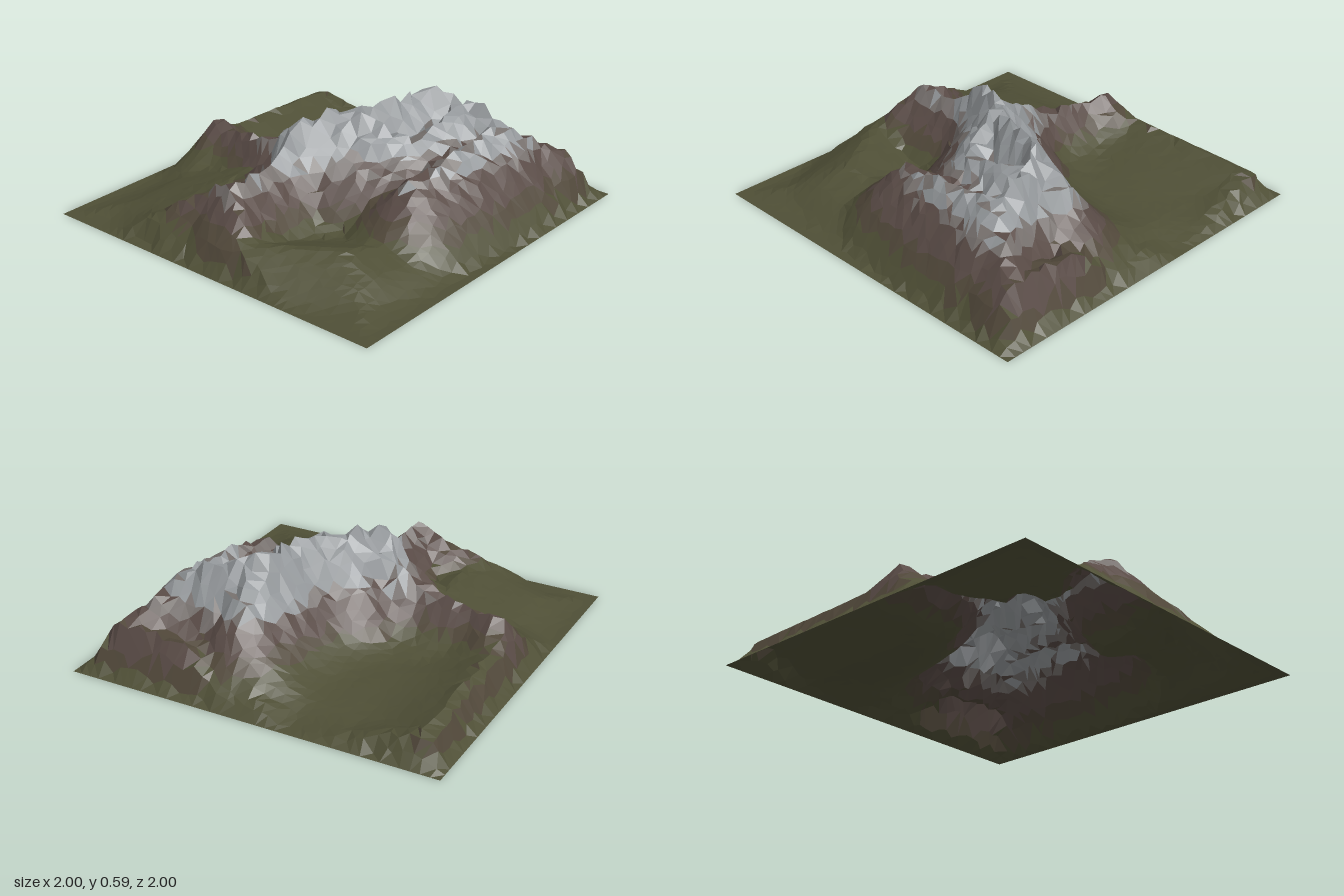
import * as THREE from 'three';

// Peaks and junctions where ridges meet: x, z, height
const westEnd = [-0.71, -0.06, 0.37];
const westPeak = [-0.25, -0.07, 0.56];
const summit = [-0.03, 0.04, 0.57];
const eastPeak = [0.44, 0.24, 0.6];
const eastEnd = [0.6, 0.25, 0.48];
const northEnd = [-0.05, -0.8, 0.3];
const browWest = [-0.12, 0.57, 0.38];
const browEast = [0.56, 0.63, 0.46];

// Ridge lines: crest points, reach of the flanks and how concave they are
const ridges = [
  // west arm up to the summit
  { reach: 0.3, crest: [westEnd, [-0.43, -0.05, 0.36], westPeak, summit] },
  // spurs and bench falling north from the west arm
  { reach: 0.25, crest: [westEnd, [-0.7, -0.2, 0.32], [-0.84, -0.45, 0.14]] },
  { reach: 0.25, crest: [westPeak, [-0.33, -0.25, 0.28]] },
  { reach: 0.45, crest: [[-0.7, -0.35, 0.17], [-0.2, -0.4, 0.18]] },
  // narrow north ridge
  { reach: 0.36, curve: 2.2, crest: [summit, [-0.13, -0.36, 0.35], [-0.09, -0.65, 0.26], northEnd, [-0.05, -0.86, 0.26]] },
  // main crest running east
  { reach: 0.55, curve: 2.1, crest: [summit, [0.15, 0.16, 0.6], eastPeak, eastEnd] },
  // east shoulder and south-east buttress
  { reach: 0.33, crest: [eastPeak, [0.52, 0.4, 0.56], browEast, [0.7, 0.71, 0.35], [0.84, 0.8, 0.27], [0.84, 0.42, 0.23]] },
  // front brow and middle of the plateau
  { reach: 0.36, curve: 1, crest: [browWest, [0.15, 0.6, 0.42], browEast] },
  { reach: 0.4, curve: 0.9, crest: [summit, [0.1, 0.38, 0.44], [0.45, 0.42, 0.52]] },
  // low rims around the south-west, north-east and east basins
  { reach: 0.32, crest: [westEnd, [-0.85, 0.15, 0.16], [-0.6, 0.55, 0.17], [-0.4, 0.6, 0.13], browWest] },
  { reach: 0.42, curve: 1.9, crest: [northEnd, [0.12, -0.84, 0.18], [0.86, -0.86, 0.15], [0.9, -0.5, 0.05]] },
  { reach: 0.22, crest: [eastEnd, [0.72, 0.16, 0.25], [0.88, 0, 0.08]] },
];

// Colour bands by height and steepness, lowest first
const bands = [
  { name: 'grassland', top: 0.21, color: 0x4f4f36 },
  { name: 'lowerSlopes', top: 0.28, color: 0x51483a },
  { name: 'earthSlopes', top: 0.4, color: 0x594b46 },
  { name: 'upperSlopes', top: 0.45, color: 0x77716e },
  { name: 'rockSummits', top: Infinity, color: 0x93979a },
];

// Repeatable random number from -1 to 1 for a grid corner
function scatter(i, j, k) {
  const s = Math.sin(i * 127.1 + j * 311.7 + k * 74.7) * 43758.5453;
  return 2 * (s - Math.floor(s)) - 1;
}

// Height given by one ridge: nearest crest point, faded across its flanks
function ridgeHeight({ crest, reach, curve = 1.2 }, x, z, floor) {
  let best = floor;
  for (let n = 0; n + 1 < crest.length; n++) {
    const [ax, az, ah] = crest[n];
    const [bx, bz, bh] = crest[n + 1];
    const dx = bx - ax, dz = bz - az;
    const t = THREE.MathUtils.clamp(((x - ax) * dx + (z - az) * dz) / (dx * dx + dz * dz), 0, 1);
    const d = Math.hypot(x - ax - dx * t, z - az - dz * t);
    const crestHeight = ah + (bh - ah) * t;
    const fade = Math.pow(Math.max(0, 1 - d / reach), curve);
    best = Math.max(best, floor + (crestHeight - floor) * fade);
  }
  return best;
}

function terrainHeight(x, z) {
  // basin floor, easing down to the flat border
  const inset = Math.max(0, 0.97 - Math.max(Math.abs(x), Math.abs(z)));
  const floor = (0.05 + 0.01 * Math.sin(7 * x + 2) * Math.cos(6 * z)) * THREE.MathUtils.smoothstep(inset, 0, 0.25);
  const h = Math.max(...ridges.map((ridge) => ridgeHeight(ridge, x, z, floor)));
  // steep outer skirt
  return Math.min(h, inset * 2.1);
}

export function createModel() {
  const group = new THREE.Group();
  group.name = 'mountainTerrain';
  const cells = 40;

  // Scattered grid of terrain points
  const grid = [];
  for (let j = 0; j <= cells; j++) {
    for (let i = 0; i <= cells; i++) {
      const border = i === 0 || j === 0 || i === cells || j === cells;
      const shift = border ? 0 : 0.6 / cells;
      const x = -1 + 2 * i / cells + shift * scatter(i, j, 1);
      const z = -1 + 2 * j / cells + shift * scatter(i, j, 2);
      const h = terrainHeight(x, z);
      const rough = Math.min(0.02, h * h * 0.12);
      const y = THREE.MathUtils.clamp(h + rough * scatter(i, j, 3), 0, 0.6);
      grid.push(new THREE.Vector3(x, y, z));
    }
  }

  // Sort the facets into bands; steep ground counts as higher
  const facets = bands.map(() => []);
  const normal = new THREE.Vector3();
  const addFacet = (a, b, c) => {
    THREE.Triangle.getNormal(a, b, c, normal);
    const level = (a.y + b.y + c.y) / 3 + 0.28 * (1 - normal.y);
    facets[bands.findIndex((band) => level < band.top)].push(a, b, c);
  };
  const row = cells + 1;
  for (let j = 0; j < cells; j++) {
    for (let i = 0; i < cells; i++) {
      const a = grid[j * row + i], b = grid[j * row + i + 1];
      const c = grid[(j + 1) * row + i], d = grid[(j + 1) * row + i + 1];
      // split each cell along its flatter diagonal
      if (Math.abs(a.y - d.y) < Math.abs(b.y - c.y)) {
        addFacet(a, c, d);
        addFacet(a, d, b);
      } else {
        addFacet(a, c, b);
        addFacet(b, c, d);
      }
    }
  }

  bands.forEach(({ name, color }, n) => {
    const geometry = new THREE.BufferGeometry().setFromPoints(facets[n]);
    geometry.computeVertexNormals();
    const material = new THREE.MeshStandardMaterial({ color, flatShading: true, side: THREE.DoubleSide });
    const mesh = new THREE.Mesh(geometry, material);
    mesh.name = name;
    group.add(mesh);
  });
  return group;
}
